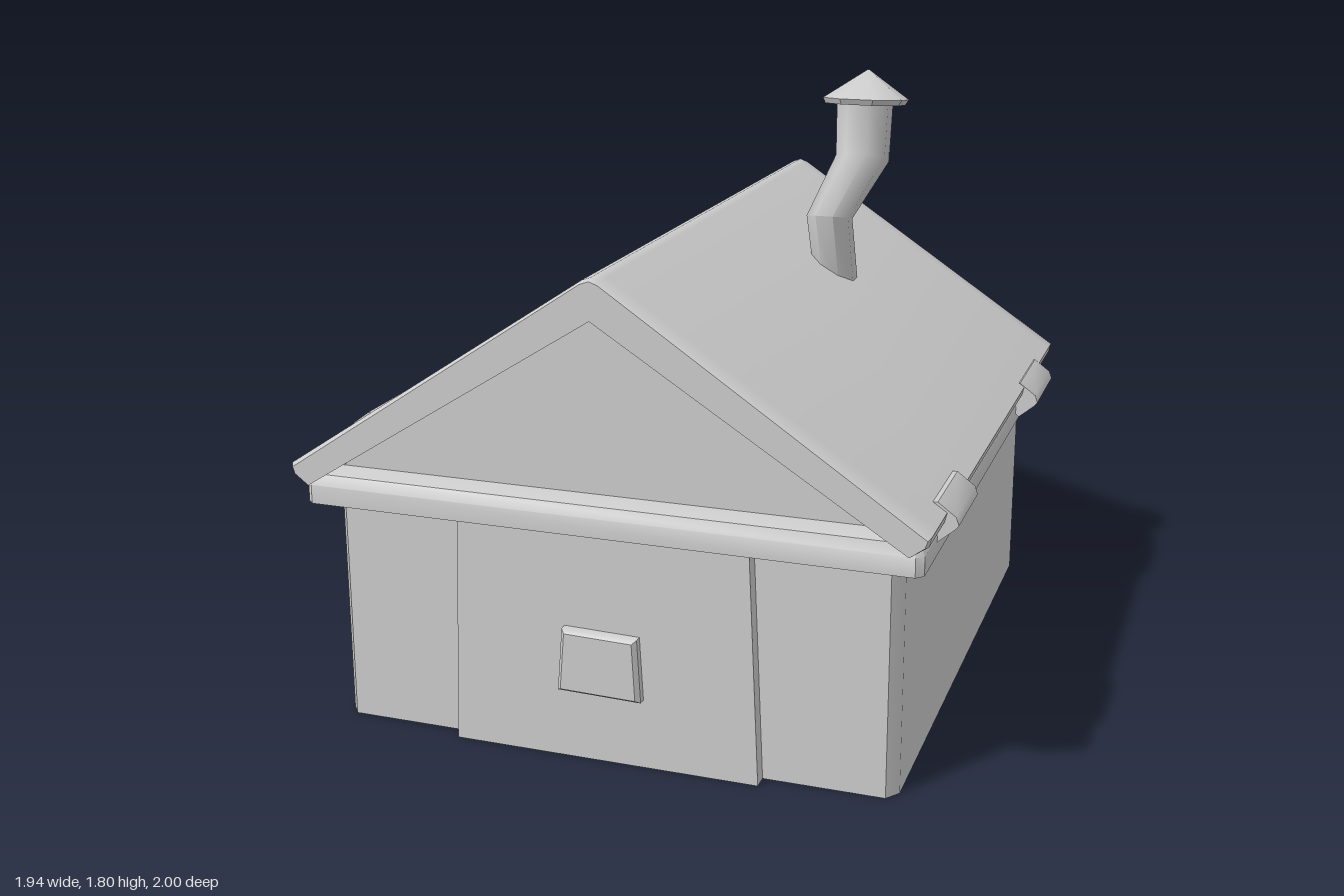
import * as THREE from 'three';
import { toCreasedNormals } from 'three/addons/utils/BufferGeometryUtils.js';

const V = (x, y, z) => new THREE.Vector3(x, y, z);

// Solid through matching cross-sections; flat(p) gives the 2D plane used to cap the ends.
function loft(rings, flat, crease = 0.7) {
  const n = rings[0].length, tris = [];
  for (let r = 0; r < rings.length - 1; r++) {
    for (let i = 0; i < n; i++) {
      const j = (i + 1) % n, a = rings[r], b = rings[r + 1];
      tris.push([a[i], a[j], b[j]], [a[i], b[j], b[i]]);
    }
  }
  const cap = (ring, reversed) => {
    const pts = ring.map(flat), area = THREE.ShapeUtils.area(pts);
    for (const [a, b, c] of THREE.ShapeUtils.triangulateShape(pts, [])) {
      const same = THREE.ShapeUtils.area([pts[a], pts[b], pts[c]]) * area > 0;
      tris.push(same !== reversed ? [ring[a], ring[b], ring[c]] : [ring[a], ring[c], ring[b]]);
    }
  };
  cap(rings[0], true);
  cap(rings[rings.length - 1], false);
  // turn the faces outward
  const volume = tris.reduce((s, [a, b, c]) => s + a.dot(b.clone().cross(c)), 0);
  if (volume < 0) tris.forEach(t => t.reverse());
  const geo = new THREE.BufferGeometry().setFromPoints(tris.flat());
  return toCreasedNormals(geo, crease);
}

const onXY = p => new THREE.Vector2(p.x, p.y);
const onXZ = p => new THREE.Vector2(p.x, p.z);

// Prism of an x/y outline between two z values
const prism = (outline, z0, z1) =>
  loft([z0, z1].map(z => outline.map(([x, y]) => V(x, y, z))), onXY);

// Horizontal rectangle with cut corners
function slabRing(y, x0, x1, z0, z1, cx, cz) {
  return [
    [x0 + cx, z0], [x1 - cx, z0], [x1, z0 + cz], [x1, z1 - cz],
    [x1 - cx, z1], [x0 + cx, z1], [x0, z1 - cz], [x0, z0 + cz],
  ].map(([x, z]) => V(x, y, z));
}

export function createModel() {
  const model = new THREE.Group();
  const grey = new THREE.MeshStandardMaterial({ color: 0xcccccc });
  grey.name = 'grey';
  const add = (name, geo) => {
    const mesh = new THREE.Mesh(geo, grey);
    mesh.name = name;
    model.add(mesh);
  };

  // Walls with narrow cut corners
  add('walls', loft([0, 0.7].map(y => slabRing(y, -0.82, 0.835, -0.905, 0.905, 0.03, 0.04)), onXZ));

  // Raised, tapering front panel and its handle
  add('frontPanel', prism([[-0.44, 0], [0.46, 0], [0.43, 0.7], [-0.415, 0.7]], 0.85, 0.95));
  const handle = [[-0.115, 0.21], [0.13, 0.205], [0.12, 0.39], [-0.1, 0.395]];
  add('handle', loft([[0.93, 1], [0.972, 1], [0.985, 0.9]].map(([z, s]) =>
    handle.map(([x, y]) => V(0.01 + (x - 0.01) * s, 0.3 + (y - 0.3) * s, z))), onXY));

  // Band around the top of the walls, rounded over at the top
  const band = [[0.67, 0], [0.725, 0], [0.755, 0.015], [0.77, 0.06]];
  add('eavesBand', loft(band.map(([y, d]) =>
    slabRing(y, -0.88 + d, 0.9 - d, -0.965 + d, 0.97 - d, 0.02, 0.02)), onXZ));

  // Gable wall filling the space under the roof
  add('gables', prism([[-0.8, 0.765], [0.82, 0.765], [0.008, 1.3]], -0.9, 0.9));

  // Roof: thin in the middle, with a deeper rim at both ends
  const middle = 0.009;
  const roofRing = (z, deep, shrink = 0) => {
    const half = deep
      ? [[0.025, 1.385 - shrink], [0.915 - shrink, 0.793 - shrink], [0.908 - shrink, 0.765], [0.86, 0.735]]
      : [[0.025, 1.385], [0.915, 0.793], [0.908, 0.765], [0.87, 0.76]];
    const right = half.map(([x, y]) => V(middle + x, y, z));
    const left = half.map(([x, y]) => V(middle - x, y, z)).reverse();
    const top = V(middle, 1.394 - shrink, z);
    const under = V(middle, deep ? 1.28 : 1.31, z);
    return [top, ...right, under, ...left];
  };
  add('roof', loft([
    roofRing(-1, true, 0.008), roofRing(-0.985, true), roofRing(-0.93, true), roofRing(-0.85, false),
    roofRing(0.85, false), roofRing(0.93, true), roofRing(0.985, true), roofRing(1, true, 0.008),
  ], onXY));

  // Loose shingles poking out from the eaves
  const shingle = [[0.84, 0.8], [0.91, 0.805], [0.96, 0.768], [0.968, 0.745], [0.955, 0.73], [0.91, 0.692], [0.86, 0.735]];
  const addShingle = (side, z0, z1, dx, dy) =>
    add('shingle', prism(shingle.map(([x, y]) => [side * (x + dx), y + dy]), z0, z1));
  addShingle(1, 0.54, 0.8, -0.012, 0.015);
  addShingle(1, -0.72, -0.42, 0, 0);
  addShingle(-1, 0.3, 0.53, 0.006, 0);

  // Crooked eight-sided stovepipe; slope tips each ring toward the back
  const ring = (x, y, z, r, slope) => Array.from({ length: 8 }, (_, i) => {
    const a = (i + 0.5) * Math.PI / 4, k = r / Math.cos(Math.PI / 8);
    const dz = Math.sin(a) * k;
    return V(x + Math.cos(a) * k, y + slope * dz, z + dz);
  });
  add('stovepipe', loft([
    ring(0.335, 1.06, -0.3, 0.062, -0.2),
    ring(0.333, 1.355, -0.18, 0.066, 0.22),
    ring(0.413, 1.53, -0.265, 0.077, 0.36),
    ring(0.413, 1.715, -0.283, 0.081, 0.12),
  ], onXZ, 0.9));

  // Shallow pointed cap
  add('stovepipeCap', loft([
    ring(0.413, 1.695, -0.285, 0.115, 0.1),
    ring(0.415, 1.712, -0.285, 0.124, 0.1),
    ring(0.418, 1.8, -0.295, 0.003, 0),
  ], onXZ, 0.6));

  return model;
}
